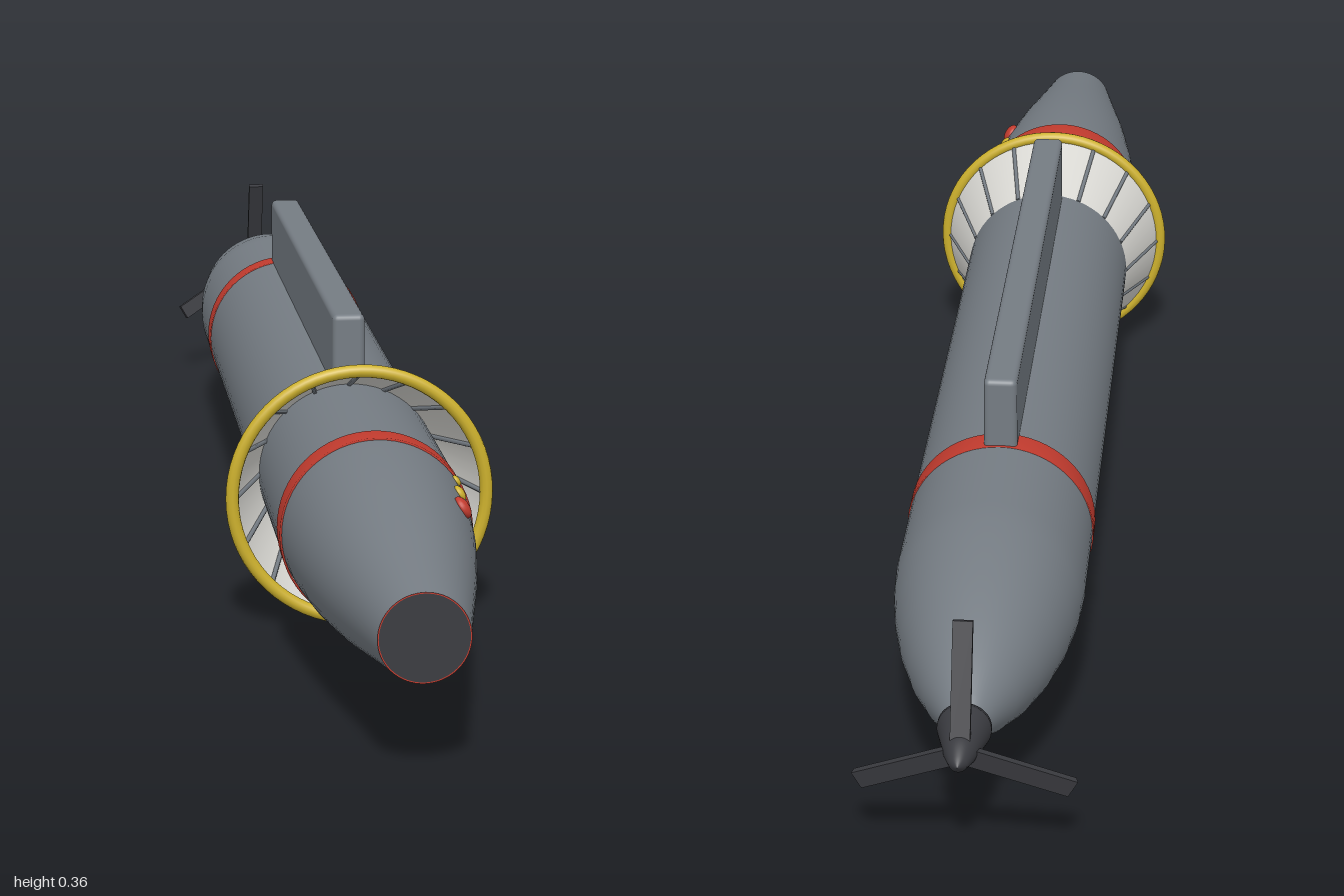
import * as THREE from 'three';
import { RoundedBoxGeometry } from 'three/addons/geometries/RoundedBoxGeometry.js';

const material = (name, color, side = THREE.FrontSide) =>
  new THREE.MeshStandardMaterial({ name, color, side });

export function createModel() {
  const model = new THREE.Group();
  model.name = 'torpedo';
  const axis = new THREE.Group();
  axis.name = 'axisParts';
  axis.position.y = 0.164;
  model.add(axis);

  const grey = material('hullGrey', 0x757c83);
  const dark = material('darkMetal', 0x3a3b40);
  const red = material('bandRed', 0xc23b2e);
  const yellow = material('ringYellow', 0xccb02c);
  const pale = material('skirtPale', 0xd9d8d3, THREE.DoubleSide);

  const add = (name, geometry, mat, x = 0, y = 0, z = 0, parent = axis) => {
    const mesh = new THREE.Mesh(geometry, mat);
    mesh.name = name;
    mesh.position.set(x, y, z);
    parent.add(mesh);
    return mesh;
  };
  // Turned part along z; points are [radius, z] from back to front
  const turned = (points) =>
    new THREE.LatheGeometry(points.map(([r, z]) => new THREE.Vector2(r, z)), 64).rotateX(Math.PI / 2);

  // Hull with tapered tail and blunt nose
  add('hull', turned([
    [0, -0.92], [0.014, -0.917], [0.03, -0.895], [0.052, -0.855], [0.073, -0.805], [0.09, -0.75],
    [0.102, -0.695], [0.109, -0.645], [0.112, -0.6], [0.112, -0.3], [0.112, 0.3], [0.112, 0.58],
    [0.109, 0.63], [0.102, 0.7], [0.0935, 0.76], [0.084, 0.82], [0.0725, 0.88], [0.061, 0.94], [0.05, 1],
  ]), grey);
  add('noseFace', new THREE.CircleGeometry(0.05, 64), dark, 0, 0, 1);
  add('noseRim', new THREE.RingGeometry(0.0488, 0.0503, 64), red, 0, 0, 1.0005);

  // Painted bands
  for (const [name, z] of [['frontBand', 0.585], ['rearBand', -0.445]]) {
    add(name, turned([[0.111, z - 0.017], [0.1135, z - 0.017], [0.1135, z + 0.017], [0.111, z + 0.017]]), red);
  }

  // Top rail
  add('topRail', new RoundedBoxGeometry(0.04, 0.1, 0.79, 3, 0.007), grey, 0, 0.149, -0.065);

  // Flared skirt with ribs and rim ring
  const inner = new THREE.Vector3(0.112, 0, 0.33);
  const outer = new THREE.Vector3(0.152, 0, 0.44);
  add('skirt', turned([[inner.x, inner.z], [outer.x, outer.z]]), pale);
  const slope = outer.clone().sub(inner);
  const ribTurn = new THREE.Quaternion().setFromUnitVectors(
    new THREE.Vector3(0, 1, 0), slope.clone().normalize());
  const middle = inner.clone().add(outer).multiplyScalar(0.5);
  for (let i = 0; i < 16; i++) {
    const holder = new THREE.Group();
    holder.name = 'skirtRib';
    holder.rotation.z = (i * Math.PI) / 8;
    axis.add(holder);
    const rib = add('rib', new THREE.CylinderGeometry(0.003, 0.003, slope.length(), 8), grey,
      middle.x - 0.001, 0, middle.z, holder);
    rib.quaternion.copy(ribTurn);
  }
  add('skirtRing', new THREE.TorusGeometry(0.155, 0.008, 12, 72), yellow, 0, 0, 0.442);

  // Signal lamps on the left of the nose
  const lampAngle = 0.585;
  for (const [name, z, r, size, mat] of [
    ['redLamp', 0.705, 0.102, 0.014, red],
    ['yellowLamp', 0.655, 0.107, 0.01, yellow],
    ['smallLamp', 0.608, 0.111, 0.007, yellow],
  ]) {
    const lamp = add(name, new THREE.SphereGeometry(size, 20, 14), mat,
      r * Math.cos(lampAngle), r * Math.sin(lampAngle), z);
    lamp.scale.x = 0.55;
    lamp.rotation.z = lampAngle;
  }

  // Propeller hub and three forward-swept blades
  add('propellerHub', turned([
    [0, -1], [0.01, -0.992], [0.018, -0.97], [0.024, -0.945], [0.03, -0.922], [0.03, -0.915], [0, -0.915],
  ]), dark);
  for (let i = 0; i < 3; i++) {
    const holder = new THREE.Group();
    holder.name = 'propellerBlade';
    holder.rotation.z = (i * Math.PI * 2) / 3;
    axis.add(holder);
    const blade = add('blade', new THREE.BoxGeometry(0.022, 0.135, 0.008), dark, 0, 0.073, -0.944, holder);
    blade.rotation.x = 0.34;
  }
  return model;
}
